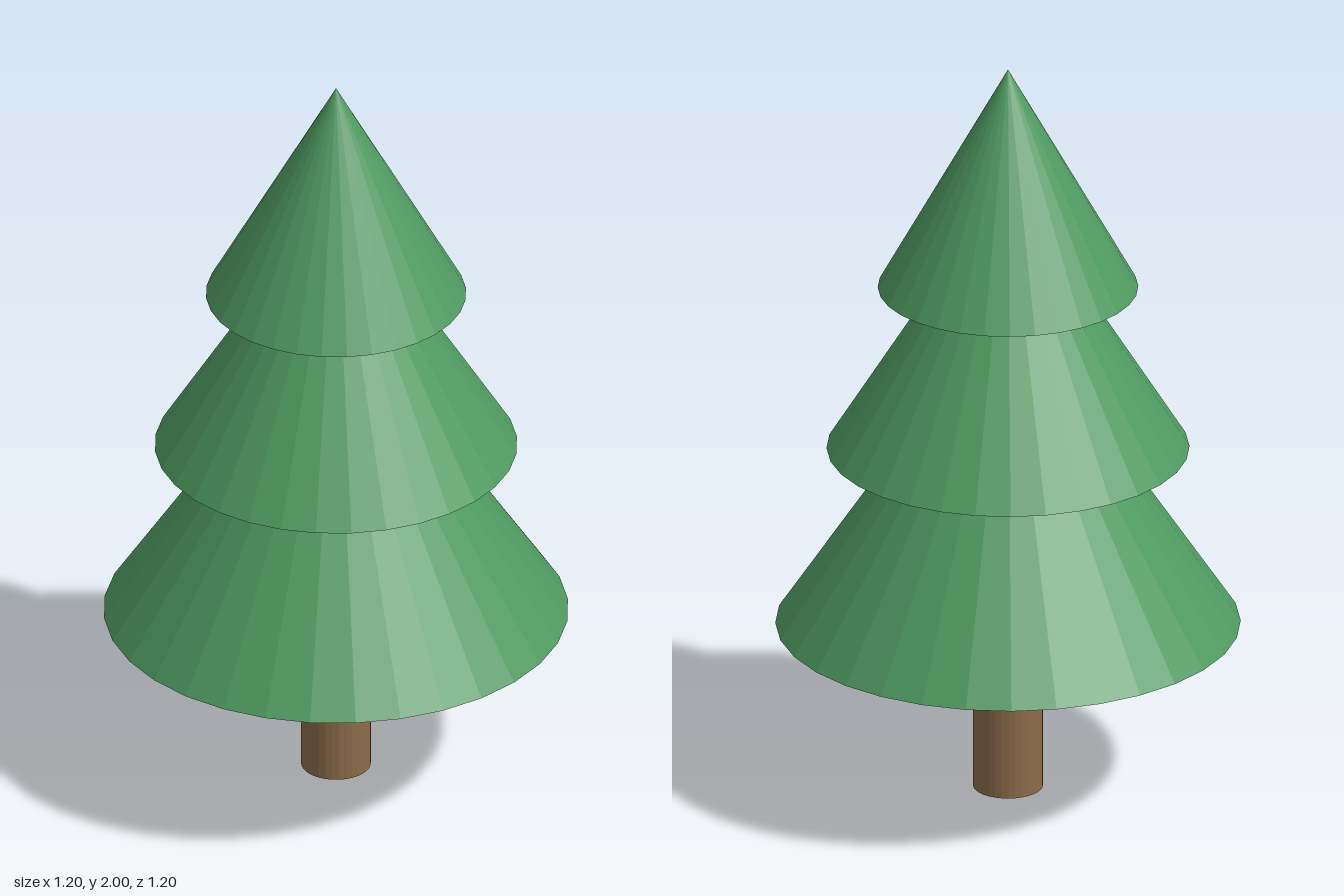
import * as THREE from 'three';

const SIDES = 32;

export function createModel() {
  const tree = new THREE.Group();
  tree.name = 'pineTree';

  const bark = new THREE.MeshStandardMaterial({ color: 0x8b6b4a, flatShading: true });
  const foliage = new THREE.MeshStandardMaterial({ color: 0x4f9960, flatShading: true });

  // Trunk, standing on the ground
  const trunk = new THREE.Mesh(new THREE.CylinderGeometry(0.09, 0.09, 0.46, SIDES), bark);
  trunk.name = 'trunk';
  trunk.position.y = 0.23;
  tree.add(trunk);

  // Foliage tiers: overlapping cones that shrink towards the tip
  const tiers = [
    { name: 'lowerFoliage', base: 0.457, radius: 0.6, height: 0.9 },
    { name: 'middleFoliage', base: 0.945, radius: 0.468, height: 0.75 },
    { name: 'upperFoliage', base: 1.393, radius: 0.336, height: 0.607 },
  ];
  for (const { name, base, radius, height } of tiers) {
    const cone = new THREE.Mesh(new THREE.ConeGeometry(radius, height, SIDES), foliage);
    cone.name = name;
    cone.position.y = base + height / 2;
    tree.add(cone);
  }

  return tree;
}
